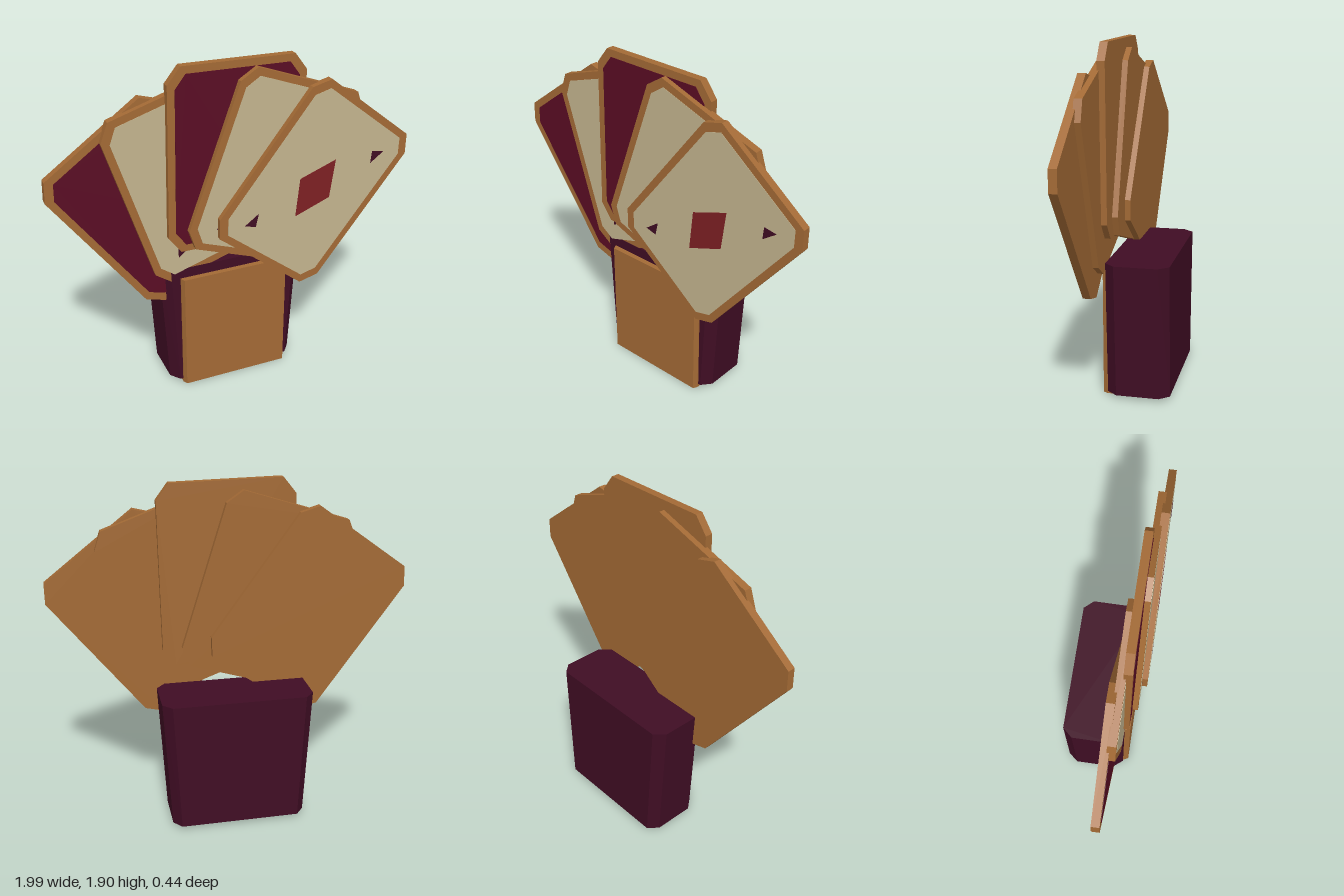
import * as THREE from 'three';

const paint = (name, color) => {
  const m = new THREE.MeshStandardMaterial({ color });
  m.name = name;
  return m;
};

const shapeOf = (pts) => new THREE.Shape(pts.map(([x, y]) => new THREE.Vector2(x, y)));

// Rectangle outline with cut corners (half sizes w, h; cuts cx, cy)
const cutRect = (w, h, cx, cy) => [
  [w, h - cy], [w - cx, h], [-w + cx, h], [-w, h - cy],
  [-w, -h + cy], [-w + cx, -h], [w - cx, -h], [w, -h + cy],
];

const slab = (pts, depth, material, name, z = 0) => {
  const geo = new THREE.ExtrudeGeometry(shapeOf(pts), { depth, bevelEnabled: false });
  const mesh = new THREE.Mesh(geo, material);
  mesh.name = name;
  mesh.position.z = z;
  return mesh;
};

export function createModel() {
  const brown = paint('warm brown', 0xa36a35);
  const cream = paint('cream', 0xc4b48e);
  const maroon = paint('maroon', 0x5a0d24);
  const plum = paint('dark plum', 0x400d24);
  const red = paint('red', 0x7e2024);

  const model = new THREE.Group();
  model.name = 'cardFanAndBox';

  // Tapered card box: octagonal plan, wider at the top in x only
  const box = slab(cutRect(0.42, 0.171, 0.05, 0.055), 0.735, plum, 'cardBox');
  box.geometry.rotateX(-Math.PI / 2);
  const p = box.geometry.attributes.position;
  for (let i = 0; i < p.count; i++) {
    p.setX(i, p.getX(i) * (0.9 + 0.1 * p.getY(i) / 0.735));
  }
  box.geometry.computeVertexNormals();
  box.position.set(0, 0.02, -0.052);
  model.add(box);

  // Front plate with narrow chamfered front edges
  const plate = slab(
    [[-0.318, -0.07], [0.318, -0.07], [0.318, -0.125], [0.305, -0.15], [-0.305, -0.15], [-0.318, -0.125]],
    0.697, brown, 'boxFrontPlate');
  plate.geometry.rotateX(-Math.PI / 2);
  model.add(plate);

  // Fan of cards: centre x, centre y, tilt in degrees, face has symbols
  const T = 0.043;
  const cards = [
    [-0.446, 1.154, 36, false],
    [-0.221, 1.264, 17.5, true],
    [0, 1.385, -1, false],
    [0.217, 1.27, -20, true],
    [0.435, 1.155, -38, true],
  ];
  cards.forEach(([x, y, tilt, symbols], i) => {
    const card = new THREE.Group();
    card.name = 'card' + (i + 1);
    card.position.set(x, y, 0.043 + i * 0.0315);
    card.rotation.z = THREE.MathUtils.degToRad(tilt);
    card.add(slab(cutRect(0.38, 0.51, 0.07, 0.09), T, brown, 'cardBody'));
    card.add(slab(cutRect(0.34, 0.47, 0.057, 0.075), 0.002, symbols ? cream : maroon, 'cardFace', T));
    if (symbols) {
      // Centre diamond and two corner marks
      card.add(slab([[0.12, -0.012], [0.008, 0.178], [-0.11, -0.012], [0.008, -0.198]],
        0.002, red, 'diamond', T + 0.002));
      card.add(slab([[0.18, 0.325], [0.217, 0.267], [0.243, 0.36]],
        0.002, plum, 'upperMark', T + 0.002));
      card.add(slab([[-0.229, -0.382], [-0.169, -0.356], [-0.202, -0.287]],
        0.002, plum, 'lowerMark', T + 0.002));
    }
    model.add(card);
  });

  return model;
}
